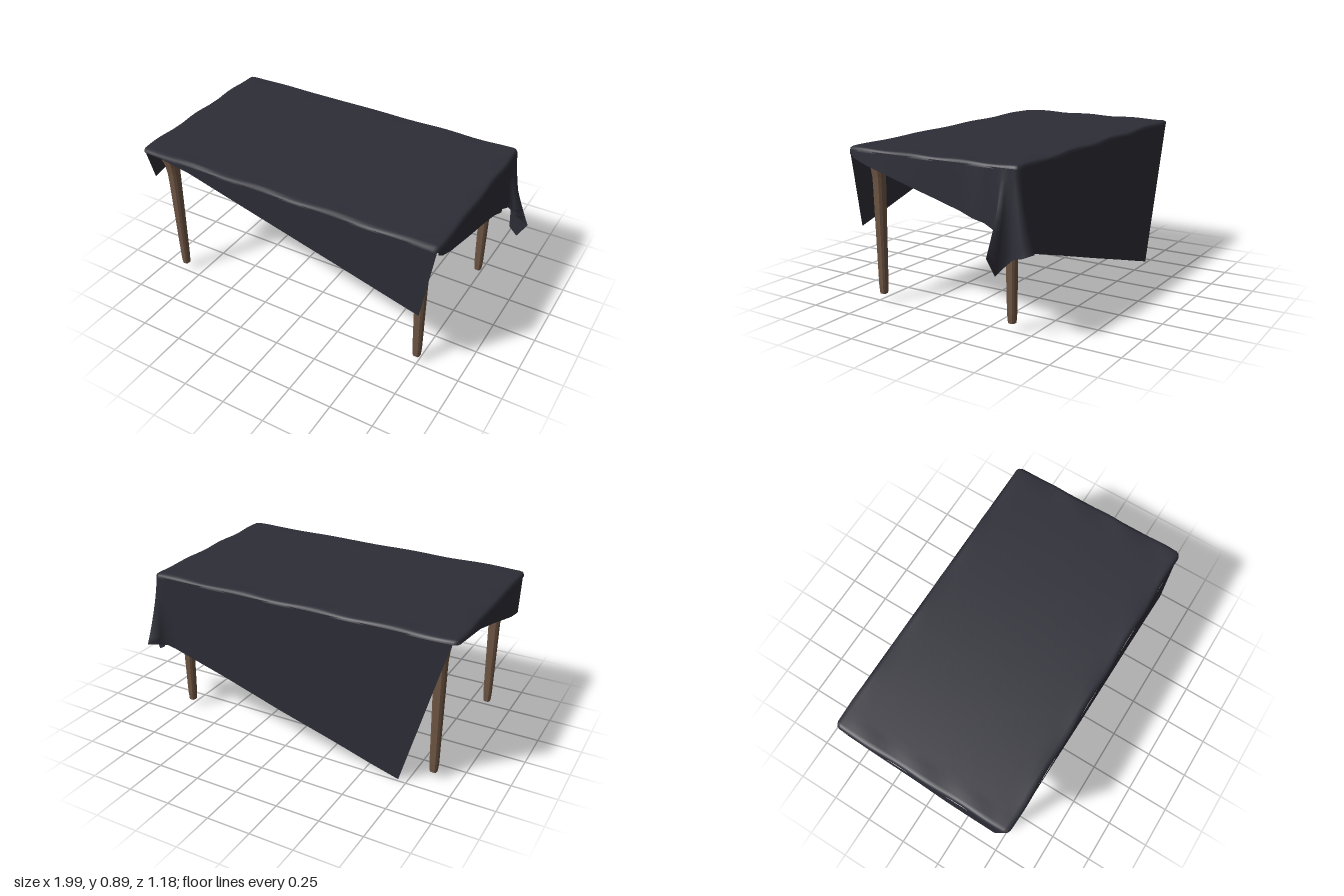
import * as THREE from 'three';

const X0 = -0.985, X1 = 0.862, Z0 = -0.492, Z1 = 0.582; // cloth top outline
const LIP = 0.87;                                        // height where the cloth turns down

// Hanging cloth between rows of [topX, topZ, bottomX, bottomY, bottomZ].
function flap(rows, ease = 1, steps = 10) {
  const pos = [], index = [];
  rows.forEach(([tx, tz, bx, by, bz], i) => {
    for (let j = 0; j <= steps; j++) {
      const t = j / steps, h = Math.pow(t, ease);
      pos.push(tx + (bx - tx) * h, LIP + 0.004 + (by - LIP - 0.004) * t, tz + (bz - tz) * h);
      if (i && j) {
        const b = i * (steps + 1) + j, a = b - steps - 1;
        index.push(a - 1, a, b - 1, a, b, b - 1);
      }
    }
  });
  const g = new THREE.BufferGeometry();
  g.setAttribute('position', new THREE.Float32BufferAttribute(pos, 3));
  g.setIndex(index);
  g.computeVertexNormals();
  return g;
}

// Table-top sheet: slightly uneven edges, rounded corners, turned-down rim.
function clothSheet() {
  const nx = 44, nz = 28, r = 0.035;
  const g = new THREE.PlaneGeometry(2, 2, nx, nz).rotateX(-Math.PI / 2);
  const p = g.attributes.position;
  const spread = (i, n, a, b) => {
    const ring = [0, 0.004, 0.014, 0.03];
    if (i < 4) return a + ring[i];
    if (n - i < 4) return b - ring[n - i];
    return a + 0.03 + (b - a - 0.06) * (i - 3) / (n - 6);
  };
  const drop = [LIP - 0.004, 0.881, 0.888, 0.89];
  for (let k = 0; k < p.count; k++) {
    const i = k % (nx + 1), j = Math.floor(k / (nx + 1));
    const d = Math.min(i, nx - i, j, nz - j);
    let x = spread(i, nx, X0, X1), z = spread(j, nz, Z0, Z1);
    const cx = THREE.MathUtils.clamp(x, X0 + r, X1 - r), cz = THREE.MathUtils.clamp(z, Z0 + r, Z1 - r);
    const dx = x - cx, dz = z - cz, len = Math.hypot(dx, dz);
    if (dx && dz) {
      const s = Math.max(Math.abs(dx), Math.abs(dz)) / len;
      x = cx + dx * s;
      z = cz + dz * s;
    }
    if (d < 3) {
      x += 0.003 * Math.sin(z * 17) * Math.sign(dx);
      z += 0.003 * Math.sin(x * 15 + 1) * Math.sign(dz);
    }
    const y = drop[Math.min(d, 3)] + (d > 0 && d < 4 ? 0.0025 * Math.sin(x * 13 + z * 19) : 0);
    p.setXYZ(k, x, y, z);
  }
  g.computeVertexNormals();
  return g;
}

// Tapered chamfered leg with its head sweeping outward under the top.
function legGeometry(sx, sz) {
  const y0 = 0.045, y1 = 0.866, n = 16;
  const g = new THREE.CylinderGeometry(1, 1, y1 - y0, 8, n).rotateY(Math.PI / 8);
  g.translate(0, (y0 + y1) / 2, 0);
  const p = g.attributes.position;
  for (let i = 0; i < p.count; i++) {
    const y = p.getY(i), t = (y - y0) / (y1 - y0);
    const half = 0.022 + 0.012 * t - (t < 0.001 ? 0.003 : 0);
    const flare = 0.03 * Math.pow(THREE.MathUtils.clamp((t - 0.78) / 0.22, 0, 1), 2);
    const move = (v, s) => {
      const u = Math.abs(v) > 0.7 ? Math.sign(v) : Math.sign(v) * 0.6; // square with chamfers
      return u * half + (u * s > 0 ? s * flare : 0);
    };
    p.setXYZ(i, move(p.getX(i), sx), y, move(p.getZ(i), sz));
  }
  const flat = g.toNonIndexed();
  flat.computeVertexNormals();
  return flat;
}

export function createModel() {
  const wood = new THREE.MeshStandardMaterial({ color: 0x6f5644 });
  wood.name = 'brown wood';
  const cloth = new THREE.MeshStandardMaterial({ color: 0x2d2d37, side: THREE.DoubleSide });
  cloth.name = 'dark cloth';
  const model = new THREE.Group();
  model.name = 'coveredTable';
  const add = (name, geometry, material, x = 0, y = 0, z = 0) => {
    const m = new THREE.Mesh(geometry, material);
    m.name = name;
    m.position.set(x, y, z);
    model.add(m);
  };

  // Table
  const legX = 0.8, legZ = 0.4275, cx = -0.06, cz = 0.0475;
  add('tableTop', new THREE.BoxGeometry(1.82, 0.017, 1.045), wood, cx, 0.8735, cz - 0.002);
  for (const s of [-1, 1]) {
    const end = s < 0 ? 'right' : 'left', side = s < 0 ? 'back' : 'front';
    add(side + 'Rail', new THREE.BoxGeometry(2 * legX, 0.038, 0.03), wood, cx, 0.847, cz + s * legZ);
    add(end + 'Rail', new THREE.BoxGeometry(0.03, 0.038, 2 * legZ), wood, cx + s * legX, 0.847, cz);
    for (const f of [-1, 1]) {
      add((f < 0 ? 'back' : 'front') + (s < 0 ? 'Right' : 'Left') + 'Leg',
        legGeometry(s, f), wood, cx + s * legX, 0, cz + f * legZ);
    }
  }

  // Cloth lying askew, so every side hangs to a different depth
  add('clothTop', clothSheet(), cloth);
  add('frontFlap', flap([
    [-0.86, Z1, -0.86, 0.866, Z1], [-0.65, Z1, -0.65, 0.83, Z1], [-0.2, Z1, -0.2, 0.705, Z1],
    [0.3, Z1, 0.28, 0.57, Z1 - 0.003], [0.6, Z1, 0.57, 0.488, Z1 - 0.004],
    [0.852, Z1 - 0.008, 0.78, 0.43, 0.578],
  ]), cloth);
  add('leftFlap', flap([
    [0.855, 0.572, 0.858, 0.85, 0.57], [X1, 0.55, 0.866, 0.83, 0.535], [X1, 0.45, 0.87, 0.8, 0.45],
    [X1, 0.2, 0.87, 0.73, 0.2], [X1, 0, 0.867, 0.675, 0], [X1, -0.16, 0.87, 0.632, -0.16],
    [X1, -0.24, 0.884, 0.61, -0.24], [X1, -0.3, 0.868, 0.59, -0.3],
  ]), cloth);
  // Bunched corner pleats
  add('cornerFolds', flap([
    [X1, -0.3, 0.868, 0.59, -0.3], [X1, -0.36, 0.88, 0.56, -0.375], [X1, -0.39, 0.92, 0.51, -0.39],
    [X1, -0.41, 1.0, 0.46, -0.4], [X1, -0.425, 0.94, 0.355, -0.41], [X1, -0.44, 0.885, 0.39, -0.43],
    [X1, -0.455, 0.872, 0.43, -0.47], [0.86, -0.47, 0.9, 0.455, -0.545], [0.85, -0.485, 0.872, 0.475, -0.592],
    [0.83, Z0, 0.83, 0.46, -0.53], [0.8, Z0, 0.8, 0.45, -0.5], [0.75, Z0, 0.75, 0.434, Z0],
  ], 1.4), cloth);
  add('backFlap', flap([
    [0.75, Z0, 0.75, 0.434, Z0], [0.4, Z0, 0.4, 0.33, Z0 + 0.004], [0, Z0, 0.02, 0.215, Z0],
    [-0.4, Z0, -0.3, 0.12, Z0 + 0.004], [-0.7, Z0, -0.53, 0.051, Z0 + 0.002], [-0.95, Z0 + 0.004, -0.7, 0, -0.486],
  ]), cloth);
  add('rightFlap', flap([
    [X0, -0.43, X0, 0.866, -0.43], [X0, -0.2, X0 - 0.004, 0.84, -0.2], [X0, 0, X0 - 0.002, 0.786, 0],
    [X0, 0.2, X0 - 0.004, 0.73, 0.2], [X0, 0.4, X0 - 0.001, 0.68, 0.37], [-0.975, 0.565, -0.984, 0.655, 0.5],
  ]), cloth);
  return model;
}
